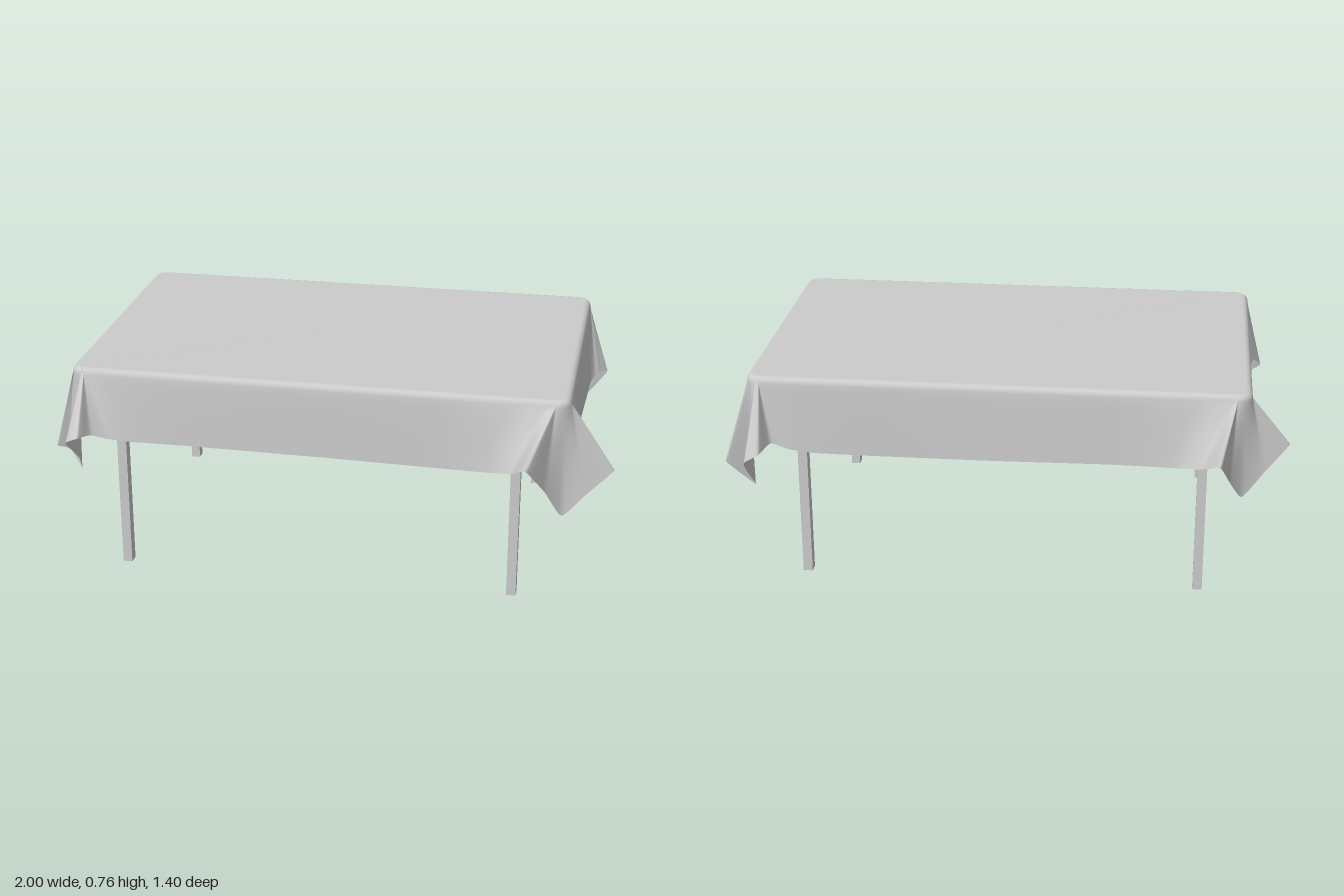
import * as THREE from 'three';
import { mergeVertices } from 'three/addons/utils/BufferGeometryUtils.js';

// Outline of the covered table: extents, corner radius, edge rounding, height
const X0 = -0.865, X1 = 0.848, Z = 0.543, R = 0.05, EDGE = 0.022, TOP = 0.757;
const { lerp, clamp, smoothstep } = THREE.MathUtils;
const vec = (p) => new THREE.Vector3(...p);

// Hem at each corner, from lobe to lobe, followed by the hem of the next straight panel
const SIDES = [
  { // front left: open flap, then left panel
    along: 'z',
    fold: [[0.72, 0.57, 0.7], [0.78, 0.455, 0.6], [0.835, 0.348, 0.545], [0.91, 0.42, 0.52], [1, 0.5, 0.475]],
    panel: [[0.865, 0.466, 0.25], [0.856, 0.466, 0], [0.865, 0.468, -0.25]],
  },
  { // back left: gathered folds, then back panel
    along: 'x',
    fold: [[0.9, 0.5, -0.46], [0.88, 0.46, -0.51], [0.925, 0.45, -0.56], [0.835, 0.348, -0.52],
      [0.84, 0.42, -0.59], [0.835, 0.49, -0.66], [0.785, 0.52, -0.655], [0.76, 0.53, -0.575]],
    panel: [[0.4, 0.488, -0.55], [0, 0.49, -0.553], [-0.4, 0.495, -0.553]],
  },
  { // back right: open flap, then right panel
    along: 'z',
    fold: [[-0.765, 0.565, -0.7], [-0.8, 0.47, -0.6], [-0.845, 0.39, -0.54], [-0.92, 0.47, -0.5], [-1, 0.56, -0.465]],
    panel: [[-0.872, 0.468, -0.2], [-0.88, 0.47, 0.07], [-0.872, 0.47, 0.25]],
  },
  { // front right: gathered folds, then front panel
    along: 'x',
    fold: [[-0.9, 0.5, 0.48], [-0.93, 0.46, 0.535], [-0.89, 0.44, 0.515], [-0.84, 0.385, 0.545],
      [-0.83, 0.45, 0.6], [-0.85, 0.53, 0.67], [-0.8, 0.56, 0.69], [-0.775, 0.545, 0.62]],
    panel: [[-0.45, 0.502, 0.553], [0, 0.497, 0.55], [0.4, 0.492, 0.553]],
  },
];

// Point where the cloth settles from a corner lobe into a panel, s of the way along
function settle(lobe, panel, along, s) {
  const p = panel.clone().lerp(lobe, Math.pow(1 - s, 4));
  p.y = lerp(panel.y, lobe.y, Math.pow(1 - s, 5));
  p[along] = lerp(lobe[along], panel[along], s);
  return p;
}

// Whole hem as one closed loop
function hemPoints() {
  const tail = [0.16, 0.4];
  return SIDES.flatMap(({ along, fold, panel }, i) => {
    const start = vec(fold.at(-1)), end = vec(SIDES[(i + 1) % SIDES.length].fold[0]);
    return [
      ...fold.map(vec),
      ...tail.map((s) => settle(start, vec(panel[0]), along, s)),
      ...panel.map(vec),
      ...tail.toReversed().map((s) => settle(end, vec(panel.at(-1)), along, s)),
    ];
  });
}

// Where a hem point hangs from the rounded table outline: base point and outward direction.
// Cloth near a corner gathers into it.
function railPoint({ x, z }) {
  const ex = clamp(x, X0 + R, X1 - R), ez = clamp(z, R - Z, Z - R);
  const cx = x > 0 ? X1 - R : X0 + R, cz = z > 0 ? Z - R : R - Z;
  const pull = 1 - smoothstep(Math.abs(cx - ex) + Math.abs(cz - ez), 0.06, 0.27);
  return {
    base: new THREE.Vector2(lerp(ex, cx, pull), lerp(ez, cz, pull)),
    dir: new THREE.Vector2(x - ex, z - ez).normalize(),
    pull,
  };
}

function clothGeometry() {
  const SUB = 6, ROWS = 14, BEND = 4;
  const points = hemPoints(), rails = points.map(railPoint);
  const n = points.length, count = n * SUB;
  const hem = new THREE.CatmullRomCurve3(points, true, 'catmullrom', 0.25);
  const rings = Array.from({ length: BEND + 1 + ROWS }, () => []);

  for (let i = 0; i < count; i++) {
    const k = Math.floor(i / SUB), f = (i % SUB) / SUB;
    const p = rails[k], q = rails[(k + 1) % n];
    const base = p.base.clone().lerp(q.base, f);
    const dir = p.dir.clone().lerp(q.dir, f).normalize();
    const pull = lerp(p.pull, q.pull, f);
    const h = hem.getPoint(i / count);

    // rounded table edge
    for (let r = 0; r <= BEND; r++) {
      const angle = (r / BEND) * Math.PI / 2;
      const e = base.clone().addScaledVector(dir, R - EDGE * (1 - Math.sin(angle)));
      rings[r].push(e.x, TOP - EDGE * (1 - Math.cos(angle)), e.y);
    }
    // hanging part: panels turn down at once, corner folds slope out
    const rail = base.clone().addScaledVector(dir, R);
    for (let r = 1; r <= ROWS; r++) {
      const t = r / ROWS, out = Math.pow(t, lerp(0.7, 1, pull));
      rings[BEND + r].push(lerp(rail.x, h.x, out), lerp(TOP - EDGE, h.y, t), lerp(rail.y, h.z, out));
    }
  }

  const position = rings.flat(), index = [];
  const centre = position.length / 3;
  position.push((X0 + X1) / 2, TOP, 0);
  for (let i = 0; i < count; i++) {
    const j = (i + 1) % count;
    index.push(centre, i, j);
    for (let r = 0; r < rings.length - 1; r++) {
      const a = r * count, b = a + count;
      index.push(a + i, b + i, a + j, a + j, b + i, b + j);
    }
  }
  const sheet = new THREE.BufferGeometry();
  sheet.setAttribute('position', new THREE.Float32BufferAttribute(position, 3));
  sheet.setIndex(index);
  const merged = mergeVertices(sheet, 1e-5);
  merged.computeVertexNormals();
  return merged;
}

export function createModel() {
  const model = new THREE.Group();
  model.name = 'tableWithCloth';
  const grey = new THREE.MeshStandardMaterial({ color: 0xcccccc });
  const fabric = new THREE.MeshStandardMaterial({ color: 0xcccccc, side: THREE.DoubleSide });

  function add(name, geometry, material, x = 0, y = 0, z = 0) {
    const mesh = new THREE.Mesh(geometry, material);
    mesh.name = name;
    mesh.position.set(x, y, z);
    model.add(mesh);
  }

  add('tablecloth', clothGeometry(), fabric);

  // table board under the cloth
  add('tabletop', new THREE.BoxGeometry(X1 - X0 - 0.04, 0.025, 2 * Z - 0.04), grey, (X0 + X1) / 2, 0.735, 0);

  // four square legs
  const leg = new THREE.BoxGeometry(0.033, 0.73, 0.038);
  for (const [side, x] of [['Left', 0.672], ['Right', -0.71]]) {
    add('front' + side + 'Leg', leg, grey, x, 0.365, 0.47);
    add('back' + side + 'Leg', leg, grey, x, 0.365, -0.466);
  }
  return model;
}
